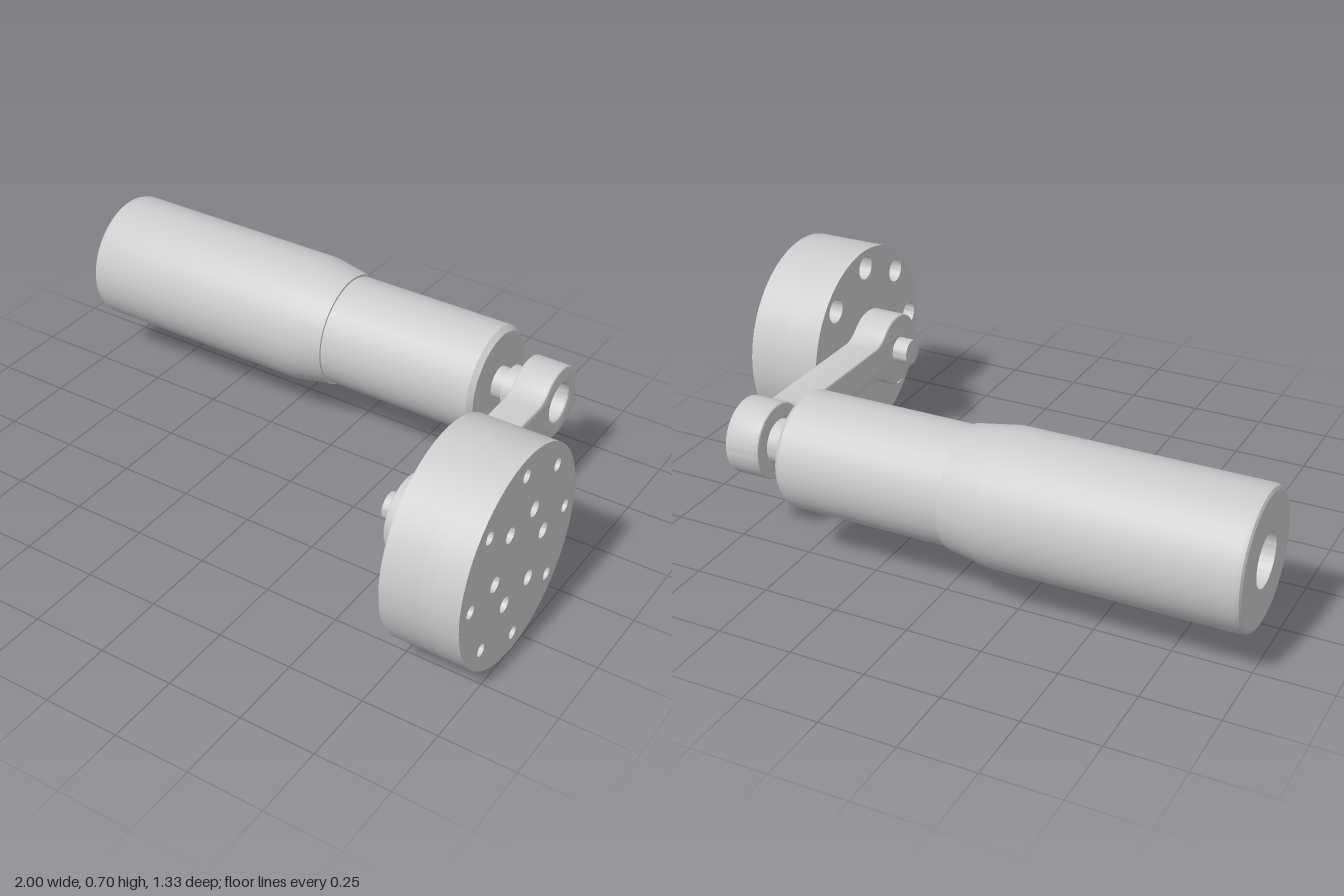
import * as THREE from 'three';
import { toCreasedNormals } from 'three/addons/utils/BufferGeometryUtils.js';

const AXIS_Y = 0.352, GRIP_Z = -0.445, DISC_Z = 0.318;
const material = new THREE.MeshStandardMaterial({ color: 0xcccccc });

function part(name, geometry, z = 0) {
  const mesh = new THREE.Mesh(toCreasedNormals(geometry, 0.45), material);
  mesh.name = name;
  mesh.position.set(0, AXIS_Y, z);
  return mesh;
}

// Turned part along x; profile is a list of [radius, x].
function turned(name, profile, z) {
  const geometry = new THREE.LatheGeometry(profile.map(([r, x]) => new THREE.Vector2(r, x)), 64);
  geometry.rotateZ(-Math.PI / 2);
  return part(name, geometry, z);
}

// Plate drawn in (-z, y) and extruded along x from x0 to x1.
function plate(name, shape, x0, x1, z = 0, bevel = 0) {
  const geometry = new THREE.ExtrudeGeometry(shape, {
    depth: x1 - x0 - 2 * bevel, curveSegments: 32, bevelEnabled: bevel > 0,
    bevelSize: bevel, bevelThickness: bevel, bevelOffset: -bevel, bevelSegments: 3,
  });
  geometry.translate(0, 0, x0 + bevel);
  geometry.rotateY(Math.PI / 2);
  return part(name, geometry, z);
}

const circleHole = (u, v, r) => new THREE.Path().absarc(u, v, r, 0, Math.PI * 2, true);

function addHoleRing(shape, count, ringRadius, r) {
  for (let i = 0; i < count; i++) {
    const a = (i / count) * Math.PI * 2;
    shape.holes.push(circleHole(ringRadius * Math.cos(a), ringRadius * Math.sin(a), r));
  }
}

// Crank arm outline: two round heads blended into a straight bar.
function armShape() {
  const head = 0.126, bar = 0.061, fillet = 0.1;
  const u1 = -GRIP_Z, u0 = -DISC_Z;
  const rise = bar + fillet;
  const run = Math.sqrt((head + fillet) ** 2 - rise ** 2);
  const a = Math.atan2(rise, run);
  const s = new THREE.Shape();
  s.absarc(u1, 0, head, -(Math.PI - a), Math.PI - a, false);
  s.absarc(u1 - run, rise, fillet, -a, -Math.PI / 2, true);
  s.absarc(u0 + run, rise, fillet, -Math.PI / 2, a - Math.PI, true);
  s.absarc(u0, 0, head, a, Math.PI * 2 - a, false);
  s.absarc(u0 + run, -rise, fillet, Math.PI - a, Math.PI / 2, true);
  s.absarc(u1 - run, -rise, fillet, Math.PI / 2, a, true);
  s.holes.push(circleHole(u1, 0, 0.066));
  return s;
}

// One layer of the hub disc with its bolt holes.
function discLayer(name, x0, x1, boltRadius, innerHoles) {
  const s = new THREE.Shape().absarc(0, 0, 0.35, 0, Math.PI * 2, false);
  addHoleRing(s, 8, 0.287, boltRadius);
  if (innerHoles) addHoleRing(s, 6, 0.146, 0.026);
  return plate(name, s, x0, x1, DISC_Z);
}

export function createModel() {
  const model = new THREE.Group();
  model.name = 'crankHandle';

  // Grip with a bored rear end, tapering to a slimmer front sleeve
  model.add(turned('grip', [
    [0, -0.75], [0.085, -0.75], [0.085, -1], [0.205, -1], [0.215, -0.995], [0.22, -0.98],
    [0.22, -0.19], [0.197, -0.05], [0.19, -0.05], [0.19, 0.505], [0.175, 0.523], [0, 0.523],
  ], GRIP_Z));

  // Spindle, stepped up to a collar and seated in the arm's bore
  model.add(turned('spindle', [
    [0, 0.5], [0.055, 0.5], [0.055, 0.568], [0.074, 0.568], [0.074, 0.622],
    [0.066, 0.622], [0.066, 0.66], [0, 0.66],
  ], GRIP_Z));

  // Crank arm and the pin at its hub end
  model.add(plate('crankArm', armShape(), 0.62, 0.743, 0, 0.008));
  model.add(turned('hubPin', [[0, 0.566], [0.044, 0.566], [0.044, 0.64], [0, 0.64]], DISC_Z));

  // Hub disc: counterbored back, through holes, and blind holes in the face
  const disc = new THREE.Group();
  disc.name = 'hubDisc';
  disc.add(discLayer('discBack', 0.743, 0.87, 0.042, false));
  disc.add(discLayer('discCore', 0.87, 0.91, 0.021, false));
  disc.add(discLayer('discFace', 0.91, 1, 0.021, true));
  model.add(disc);

  return model;
}
